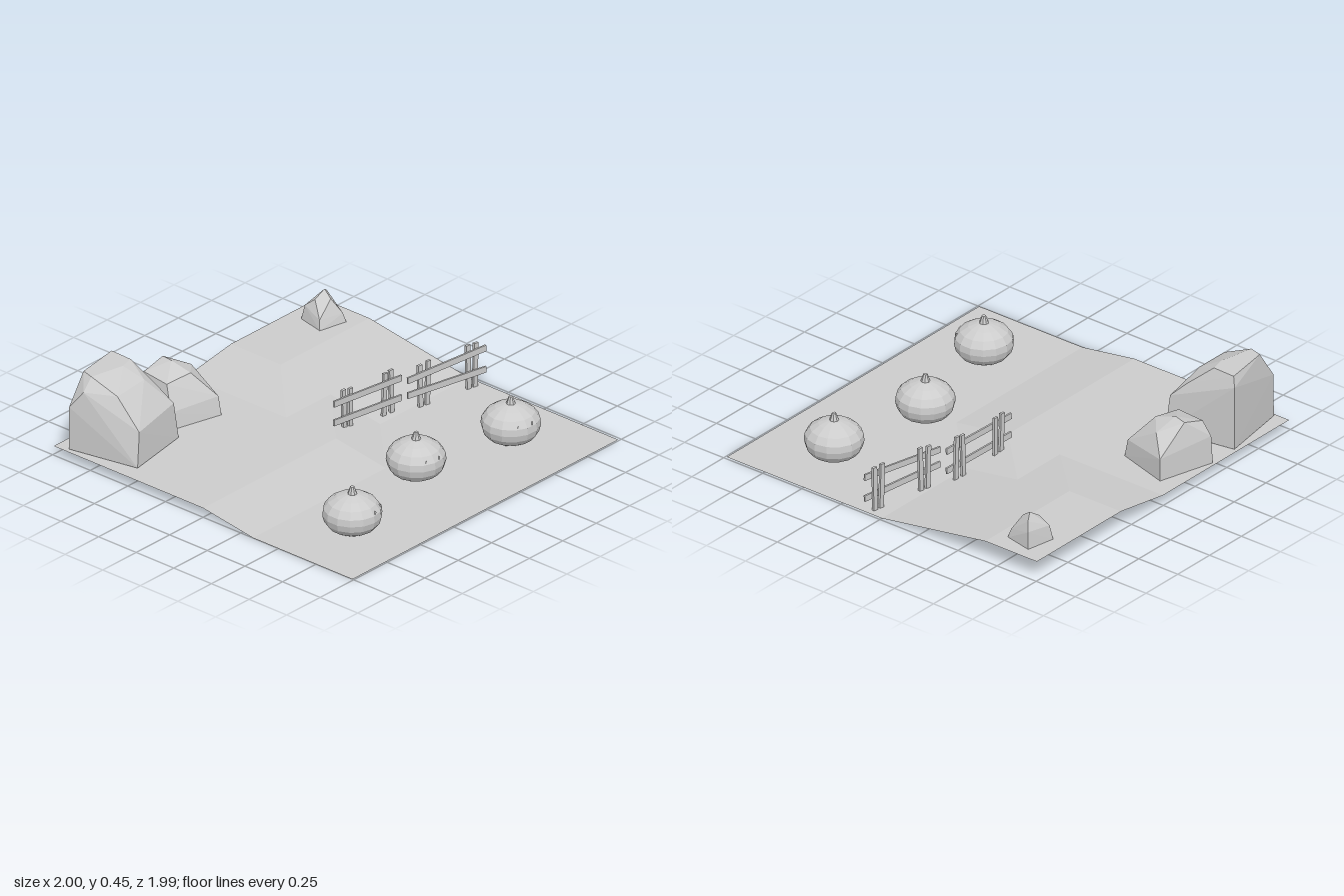
import * as THREE from 'three';
import { ConvexGeometry } from 'three/addons/geometries/ConvexGeometry.js';

const grey = new THREE.MeshStandardMaterial({ color: 0xcccccc, flatShading: true });
const thin = new THREE.MeshStandardMaterial({ color: 0xcccccc, flatShading: true, side: THREE.DoubleSide });

function part(name, geometry, parent, material = grey) {
  const mesh = new THREE.Mesh(geometry, material);
  mesh.name = name;
  parent.add(mesh);
  return mesh;
}

// Terraced ground: a one-cell ramp on the left, a higher two-cell ramp on the right
function makeGround(parent) {
  const n = 6, size = 1.985;
  const geo = new THREE.PlaneGeometry(size, size, n, n).rotateX(-Math.PI / 2);
  const pos = geo.attributes.position;
  for (let i = 0; i < pos.count; i++) {
    const col = i % (n + 1), row = Math.floor(i / (n + 1)); // row 0 is the back
    const steps = col <= 3 ? Math.min(1, Math.max(0, 4 - row)) : Math.min(2, Math.max(0, 3 - row));
    pos.setY(i, steps * 0.051);
  }
  geo.translate(-0.0075, 0, 0);
  geo.computeVertexNormals();
  part('ground', geo, parent, thin);
}

// Squat faceted pumpkin with a stubby stem and two small carved eyes
function makePumpkin(x, z, turn, parent) {
  const g = new THREE.Group();
  g.name = 'pumpkin';
  const profile = [[0, 0.005], [0.085, 0.005], [0.118, 0.024], [0.142, 0.055], [0.151, 0.09],
    [0.147, 0.125], [0.122, 0.16], [0.08, 0.187], [0.035, 0.202], [0, 0.204]];
  part('pumpkinBody', new THREE.LatheGeometry(profile.map(p => new THREE.Vector2(...p)), 14), g);
  const stem = part('pumpkinStem', new THREE.CylinderGeometry(0.011, 0.026, 0.045, 8), g);
  stem.position.y = 0.219;
  for (const s of [-1, 1]) {
    const pivot = new THREE.Group();
    pivot.name = 'pumpkinEye';
    pivot.rotation.y = s * 0.3;
    const eye = part('eyeTriangle', new THREE.CylinderGeometry(0.01, 0.01, 0.006, 3).rotateX(-Math.PI / 2), pivot);
    eye.position.set(0, 0.135, 0.139);
    eye.rotation.x = -0.5;
    g.add(pivot);
  }
  g.position.set(x, 0, z);
  g.rotation.y = turn;
  parent.add(g);
}

// Fence panel from (x0, z0) to (x1, z1): two sloping rails with paired posts behind
function makeFence([x0, z0], [x1, z1], rails, posts, parent) {
  const g = new THREE.Group();
  g.name = 'fencePanel';
  const length = Math.hypot(x1 - x0, z1 - z0);
  for (const [ya, yb] of rails) {
    const rail = part('fenceRail', new THREE.BoxGeometry(Math.hypot(length, yb - ya), 0.034, 0.01), g);
    rail.position.set(length / 2, (ya + yb) / 2, 0);
    rail.rotation.z = Math.atan2(yb - ya, length);
  }
  posts.forEach(([px, top, tilt]) => {
    const post = part('fencePost', new THREE.BoxGeometry(0.026, top, 0.014), g);
    post.position.set((px - x0) * length / (x1 - x0), top / 2, -0.011);
    post.rotation.z = tilt;
  });
  g.position.set(x0, 0, z0);
  g.rotation.y = -Math.atan2(z1 - z0, x1 - x0);
  parent.add(g);
}

// Rock: convex hull of its corner points
function makeRock(name, points, parent) {
  part(name, new ConvexGeometry(points.map(p => new THREE.Vector3(...p))), parent);
}

export function createModel() {
  const model = new THREE.Group();
  model.name = 'pumpkinPatch';

  makeGround(model);

  makePumpkin(-0.605, 0.64, 0.43, model);
  makePumpkin(0.04, 0.49, -0.15, model);
  makePumpkin(0.635, 0.59, -0.25, model);

  makeFence([0.045, -0.062], [0.505, -0.023], [[0.2, 0.18], [0.095, 0.07]],
    [[0.125, 0.25, 0.04], [0.168, 0.243, 0], [0.4, 0.24, -0.04], [0.447, 0.245, 0.03]], model);
  makeFence([0.505, 0.019], [0.995, 0.103], [[0.178, 0.2], [0.095, 0.08]],
    [[0.592, 0.235, 0.03], [0.64, 0.243, -0.03], [0.893, 0.246, 0.03], [0.938, 0.243, -0.02]], model);

  makeRock('largeRock', [
    [-0.98, 0.055, -0.91], [-0.59, 0.055, -0.975], [-0.525, 0.055, -0.585], [-0.905, 0.055, -0.52],
    [-0.978, 0.29, -0.91], [-0.595, 0.4, -0.972], [-0.545, 0.25, -0.6], [-0.87, 0.235, -0.54],
    [-0.95, 0.385, -0.84], [-0.87, 0.385, -0.685], [-0.66, 0.395, -0.695], [-0.575, 0.33, -0.68],
    [-0.89, 0.45, -0.84], [-0.7, 0.45, -0.8], [-0.62, 0.45, -0.82], [-0.615, 0.45, -0.95], [-0.87, 0.45, -0.91],
  ], model);

  makeRock('mediumRock', [
    [-0.42, 0.052, -0.975], [-0.11, 0.052, -0.89], [-0.2, 0.052, -0.59], [-0.5, 0.052, -0.67],
    [-0.42, 0.2, -0.965], [-0.115, 0.17, -0.885], [-0.2, 0.15, -0.61], [-0.475, 0.14, -0.68],
    [-0.44, 0.265, -0.74], [-0.29, 0.28, -0.715], [-0.19, 0.26, -0.8], [-0.42, 0.27, -0.91],
    [-0.305, 0.315, -0.83], [-0.29, 0.31, -0.9],
  ], model);

  makeRock('smallRock', [
    [0.755, 0.1, -0.91], [0.915, 0.1, -0.88], [0.88, 0.1, -0.72], [0.72, 0.1, -0.755],
    [0.765, 0.18, -0.895], [0.905, 0.19, -0.87], [0.87, 0.15, -0.735], [0.735, 0.15, -0.77],
    [0.78, 0.225, -0.84], [0.84, 0.265, -0.83], [0.88, 0.235, -0.85], [0.83, 0.23, -0.78],
  ], model);

  return model;
}
